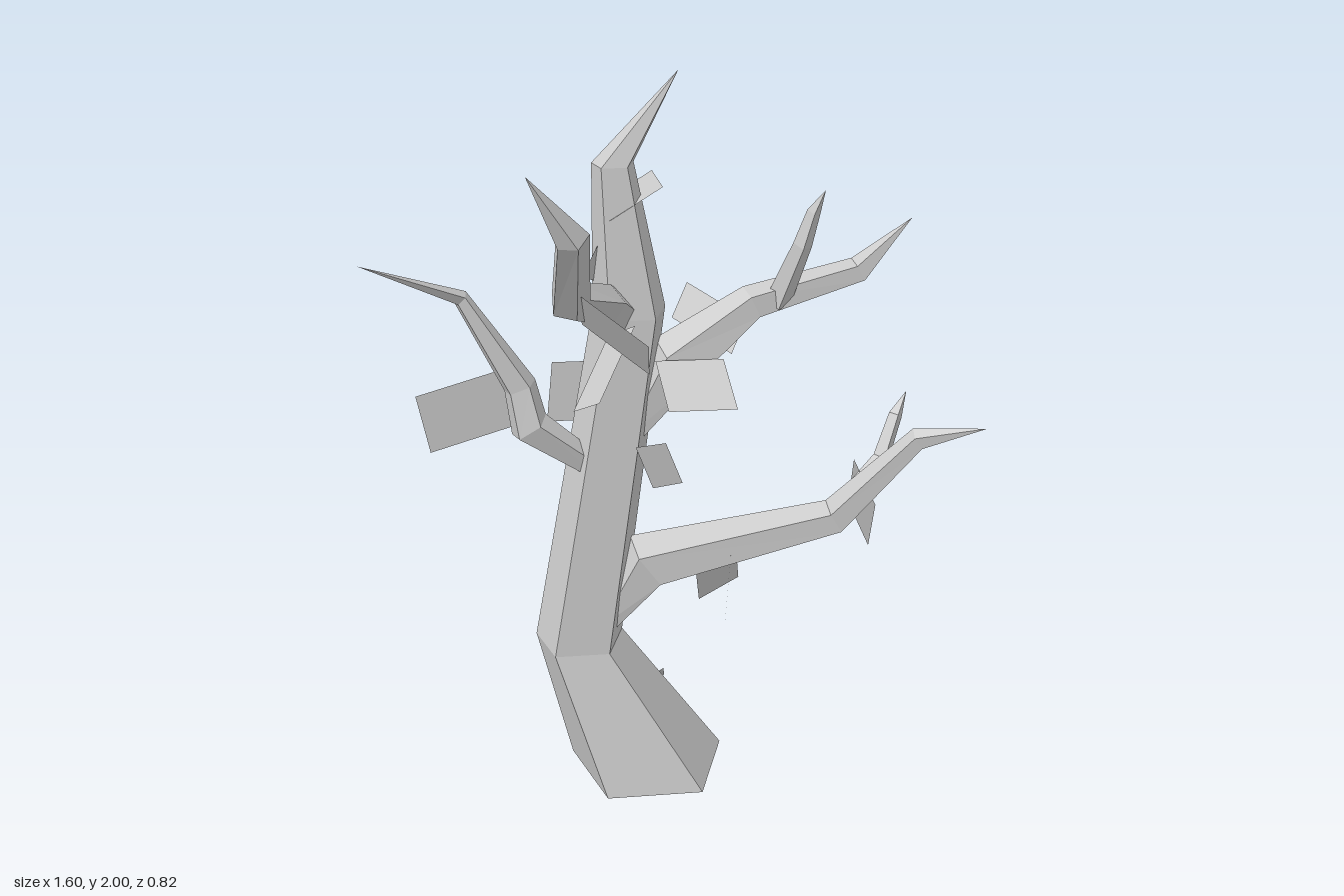
import * as THREE from 'three';

const V = (p) => new THREE.Vector3(...p);
const material = new THREE.MeshStandardMaterial({ color: 0xcccccc, flatShading: true });
const leafMaterial = new THREE.MeshStandardMaterial({ color: 0xcccccc, flatShading: true, side: THREE.DoubleSide });

function build(name, points, mat) {
  const geometry = new THREE.BufferGeometry().setFromPoints(points);
  geometry.computeVertexNormals();
  const mesh = new THREE.Mesh(geometry, mat);
  mesh.name = name;
  return mesh;
}

// Faceted tapering limb through [x, y, z, radius] stations; level keeps the rings horizontal
function limb(name, path, { sides = 5, ref = [0, 0, -1], level = false } = {}) {
  const centres = path.map((p) => V(p.slice(0, 3)));
  const last = path.length - 1;
  const rings = centres.map((c, i) => {
    const t = new THREE.Vector3(0, 1, 0);
    if (!level) {
      t.set(0, 0, 0);
      if (i > 0) t.add(c.clone().sub(centres[i - 1]).normalize());
      if (i < last) t.add(centres[i + 1].clone().sub(c).normalize());
      t.normalize();
    }
    const u = V(ref).addScaledVector(t, -t.dot(V(ref))).normalize();
    const v = t.clone().cross(u);
    return Array.from({ length: sides }, (_, k) => {
      const a = (k / sides) * Math.PI * 2;
      return c.clone()
        .addScaledVector(u, Math.cos(a) * path[i][3])
        .addScaledVector(v, Math.sin(a) * path[i][3]);
    });
  });
  const tris = [];
  for (let k = 0; k < sides; k++) {
    const n = (k + 1) % sides;
    tris.push(centres[0], rings[0][n], rings[0][k]); // base cap
    for (let i = 0; i < last; i++) {
      const [a, b] = [rings[i], rings[i + 1]];
      tris.push(a[k], a[n], b[n]);
      if (path[i + 1][3] > 0) tris.push(a[k], b[n], b[k]);
    }
  }
  return build(name, tris, material);
}

// Flat four-cornered leaf from three corners; the fourth completes the parallelogram
function leaf(a, b, c) {
  const [A, B, C] = [a, b, c].map(V);
  const D = A.clone().add(C).sub(B);
  return build('leaf', [A, B, C, A, C, D], leafMaterial);
}

export function createModel() {
  const tree = new THREE.Group();
  tree.name = 'bareTree';

  // Trunk, pointed at the top
  tree.add(limb('trunk', [
    [-0.09, 0, -0.183, 0.228], [-0.28, 0.42, -0.183, 0.127],
    [-0.127, 1.38, -0.185, 0.1], [-0.165, 1.77, -0.18, 0.056], [0, 2, -0.18, 0],
  ], { level: true }));

  // Main branches
  tree.add(limb('lowerBranch', [
    [-0.21, 0.46, -0.17, 0.03], [-0.09, 0.665, -0.155, 0.085],
    [0.43, 0.765, -0.165, 0.052], [0.635, 1.02, -0.09, 0.032], [0.8, 1.07, -0.02, 0],
  ]));
  tree.add(limb('upperBranch', [
    [-0.13, 1.02, -0.19, 0.03], [0, 1.24, -0.18, 0.085],
    [0.19, 1.39, -0.175, 0.05], [0.49, 1.44, -0.265, 0.038], [0.62, 1.59, -0.23, 0],
  ]));
  tree.add(limb('sideBranch', [
    [-0.18, 0.91, -0.17, 0.03], [-0.4, 1.09, -0.13, 0.055],
    [-0.42, 1.2, -0.14, 0.045], [-0.56, 1.45, -0.13, 0.022], [-0.8, 1.59, 0.02, 0],
  ]));
  tree.add(limb('forwardBranch', [
    [-0.16, 1.37, -0.17, 0.06], [-0.2, 1.44, -0.06, 0.055],
    [-0.3, 1.53, 0.17, 0.05], [-0.3, 1.74, 0.345, 0.042], [-0.4, 1.9, 0.41, 0],
  ], { ref: [1, 0, 0] }));

  // Twigs
  tree.add(limb('upperTwig', [
    [0.26, 1.39, -0.18, 0.035], [0.31, 1.56, -0.12, 0.025], [0.335, 1.65, -0.11, 0.018], [0.36, 1.71, -0.09, 0],
  ], { sides: 4 }));
  tree.add(limb('lowerTwig', [
    [0.47, 0.83, -0.16, 0.03], [0.57, 0.9, -0.24, 0.025], [0.61, 1.02, -0.26, 0.02], [0.65, 1.07, -0.31, 0],
  ], { sides: 4 }));

  // Leaves
  const leaves = new THREE.Group();
  leaves.name = 'leaves';
  [
    [[-0.18, 1.61, -0.4], [-0.045, 1.69, -0.41], [-0.045, 1.72, -0.13]],
    [[-0.69, 1.18, -0.15], [-0.66, 1.02, -0.15], [-0.42, 1.07, -0.2]],
    [[-0.28, 1.57, 0.24], [-0.13, 1.48, 0.36], [-0.12, 1.37, 0.25]],
    [[0.04, 0.65, -0.15], [0.17, 0.65, -0.27], [0.19, 0.5, -0.34]],
    [[0.13, 0.72, -0.08], [0.1, 0.6, 0.04], [0.11, 0.48, -0.06]],
    [[0.49, 0.91, -0.22], [0.52, 0.69, -0.41], [0.56, 0.6, -0.3]],
    [[-0.07, 1.27, -0.1], [0.11, 1.26, -0.12], [0.13, 1.17, 0.01]],
    [[-0.29, 1.18, 0], [-0.23, 1.24, 0.1], [-0.13, 1.4, -0.01]],
    [[-0.33, 1.21, -0.28], [-0.2, 1.19, -0.33], [-0.22, 1.04, -0.28]],
    [[-0.13, 1.06, -0.03], [-0.04, 1.02, -0.14], [0, 0.92, -0.1]],
    [[-0.2, 1.58, -0.17], [-0.08, 1.5, -0.3], [-0.13, 1.4, -0.3]],
    [[0.04, 1.4, -0.34], [0.19, 1.32, -0.26], [0.14, 1.25, -0.18]],
    [[-0.12, 0.24, -0.2], [-0.04, 0.27, -0.24], [-0.03, 0.2, -0.32]],
  ].forEach((corners) => leaves.add(leaf(...corners)));
  tree.add(leaves);
  return tree;
}
